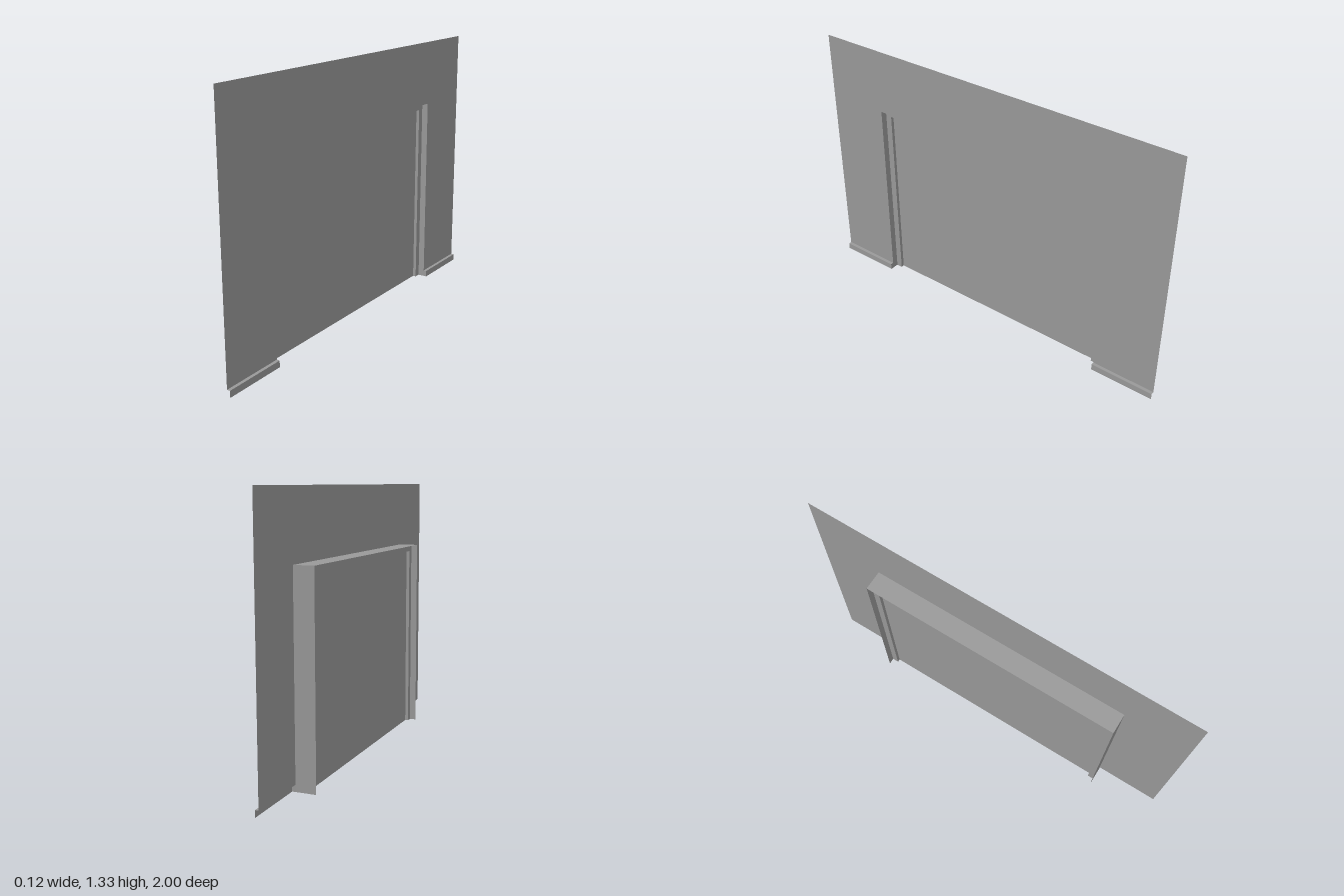
import * as THREE from 'three';

const U = 1 / 30;                 // module: 60 x 40 wall, 3 deep opening
const WALL_X = 1.25 * U, BACK_X = -1.75 * U, SKIRT_X = 1.75 * U;
const MID_X = (WALL_X + BACK_X) / 2;
const HALF = 20 * U, TOP = 30 * U;  // opening

export function createModel() {
  const root = new THREE.Group();
  root.name = 'wallOpening';
  const grey = new THREE.MeshStandardMaterial({ color: 0x999999, side: THREE.DoubleSide });
  grey.name = 'plain grey';

  const add = (name, geometry, x, y, z, parent = root) => {
    const mesh = new THREE.Mesh(geometry, grey);
    mesh.name = name;
    mesh.position.set(x, y, z);
    parent.add(mesh);
    return mesh;
  };
  // Thin sheets facing each axis
  const sheetX = (d, h) => new THREE.PlaneGeometry(d, h).rotateY(Math.PI / 2);
  const sheetY = (w, d) => new THREE.PlaneGeometry(w, d).rotateX(-Math.PI / 2);
  const sheetZ = (w, h) => new THREE.PlaneGeometry(w, h);

  // Wall sheet around the opening, starting above the skirting
  const outline = new THREE.Shape([
    [-1, U], [-HALF, U], [-HALF, TOP], [HALF, TOP],
    [HALF, U], [1, U], [1, 40 * U], [-1, 40 * U],
  ].map(([z, y]) => new THREE.Vector2(z, y)));
  add('wall', new THREE.ShapeGeometry(outline).rotateY(Math.PI / 2), WALL_X, 0, 0);

  // Lining head and door panel
  add('liningHead', sheetY(3 * U, 2 * HALF), MID_X, TOP, 0);
  add('panel', sheetX(2 * (HALF - U), TOP - U), MID_X, (TOP - U) / 2, 0);
  add('stopHead', new THREE.BoxGeometry(U, U, 2 * HALF), MID_X, TOP - U / 2, 0);

  // Jambs, stops and skirting, mirrored about the opening
  const skirtLength = 1 - HALF;
  const skirtZ = (1 + HALF) / 2;
  const skirtMid = (WALL_X + SKIRT_X) / 2;
  for (const s of [-1, 1]) {
    const side = s > 0 ? 'front' : 'back';
    add(side + 'LiningJamb', sheetZ(3 * U, TOP), MID_X, TOP / 2, s * HALF);
    add(side + 'Stop', new THREE.BoxGeometry(U, TOP - U, U), MID_X, (TOP - U) / 2, s * (HALF - U / 2));

    const skirting = new THREE.Group();
    skirting.name = side + 'Skirting';
    root.add(skirting);
    add('skirtingFace', sheetX(skirtLength, U), SKIRT_X, U / 2, s * skirtZ, skirting);
    add('skirtingLedge', sheetY(U / 2, skirtLength), skirtMid, U, s * skirtZ, skirting);
    add('skirtingReturn', sheetZ(U / 2, U), skirtMid, U / 2, s * HALF, skirting);
  }
  return root;
}
